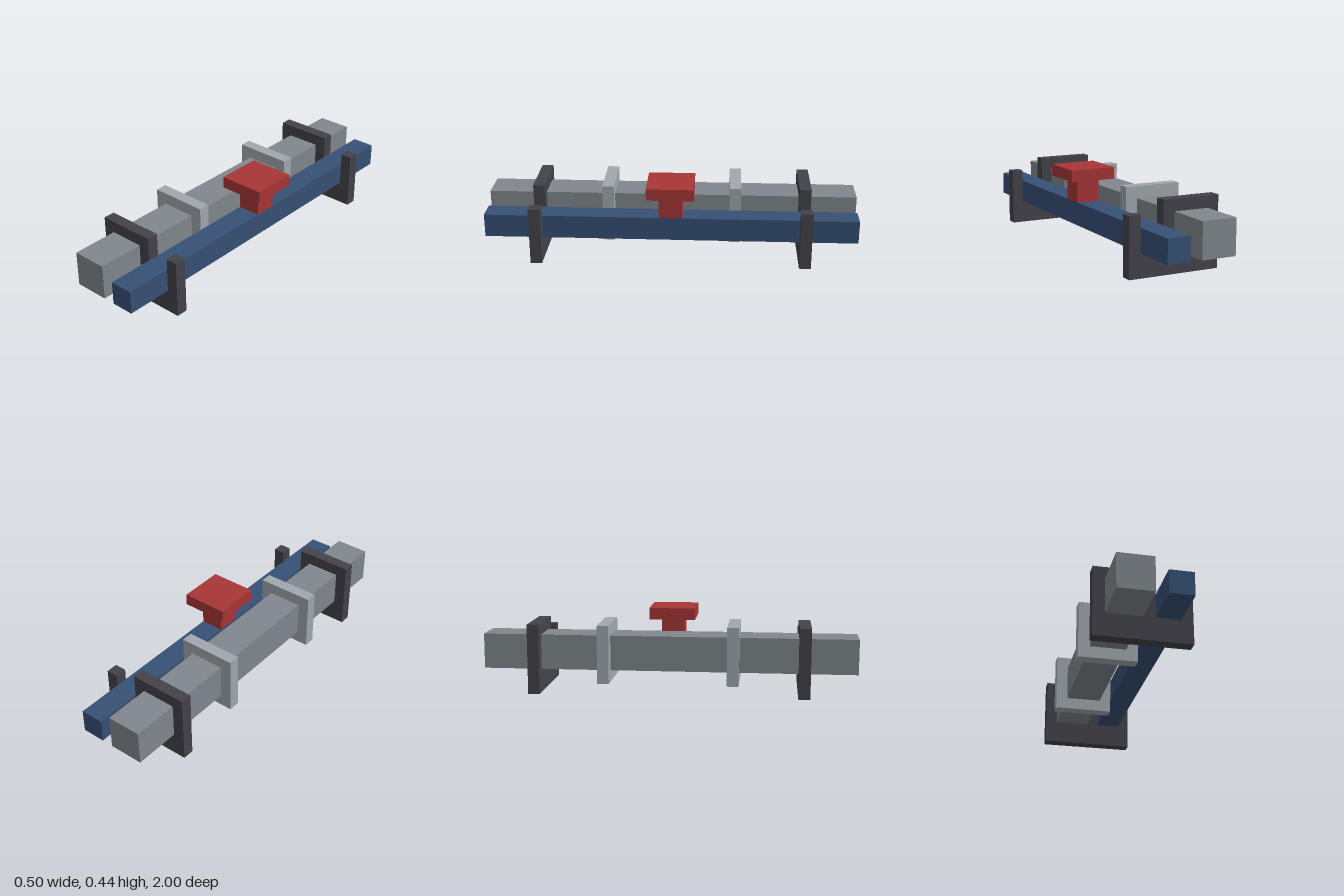
import * as THREE from 'three';

const material = (name, color) => {
  const m = new THREE.MeshStandardMaterial({ color });
  m.name = name;
  return m;
};

export function createModel() {
  const model = new THREE.Group();
  model.name = 'slideBoltRail';

  const steel = material('steelGrey', 0x80878c);
  const paleSteel = material('paleSteel', 0xa0a8ad);
  const iron = material('darkIron', 0x43424a);
  const blue = material('rodBlue', 0x365074);
  const red = material('handleRed', 0xa73535);

  // Box given by its lower and upper corners
  const box = (name, mat, [x0, y0, z0], [x1, y1, z1], parent = model) => {
    const mesh = new THREE.Mesh(new THREE.BoxGeometry(x1 - x0, y1 - y0, z1 - z0), mat);
    mesh.position.set((x0 + x1) / 2, (y0 + y1) / 2, (z0 + z1) / 2);
    mesh.name = name;
    parent.add(mesh);
    return mesh;
  };

  // Main square bar and the sliding rod beside it
  box('mainBar', steel, [-0.1875, 0.125, -1], [0, 0.3125, 1]);
  box('slidingRod', blue, [0.0625, 0.125, -1], [0.1875, 0.25, 1]);

  // Bracket plate: tall block around the bar, open slot for the rod
  const outline = new THREE.Shape([
    [-0.25, 0], [0.25, 0], [0.25, 0.3125], [0.1875, 0.3125],
    [0.1875, 0.125], [0.0625, 0.125], [0.0625, 0.375], [-0.25, 0.375],
  ].map(([x, y]) => new THREE.Vector2(x, y)));
  const bracketGeometry = new THREE.ExtrudeGeometry(outline, { depth: 0.0625, bevelEnabled: false });
  bracketGeometry.translate(0, 0, -0.03125);

  // Brackets and collars, mirrored front to back
  for (const [side, s] of [['front', 1], ['back', -1]]) {
    const bracket = new THREE.Mesh(bracketGeometry, iron);
    bracket.name = side + 'Bracket';
    bracket.position.z = s * 0.71875;
    model.add(bracket);

    const z = s * 0.34375;
    box(side + 'Collar', paleSteel, [-0.25, 0.0625, z - 0.03125], [0.0625, 0.375, z + 0.03125]);
  }

  // Handle on the rod: stem and square cap
  const handle = new THREE.Group();
  handle.name = 'handle';
  model.add(handle);
  box('handleStem', red, [0.0625, 0.25, -0.0625], [0.1875, 0.375, 0.0625], handle);
  box('handleCap', red, [0, 0.375, -0.125], [0.25, 0.4375, 0.125], handle);

  return model;
}
